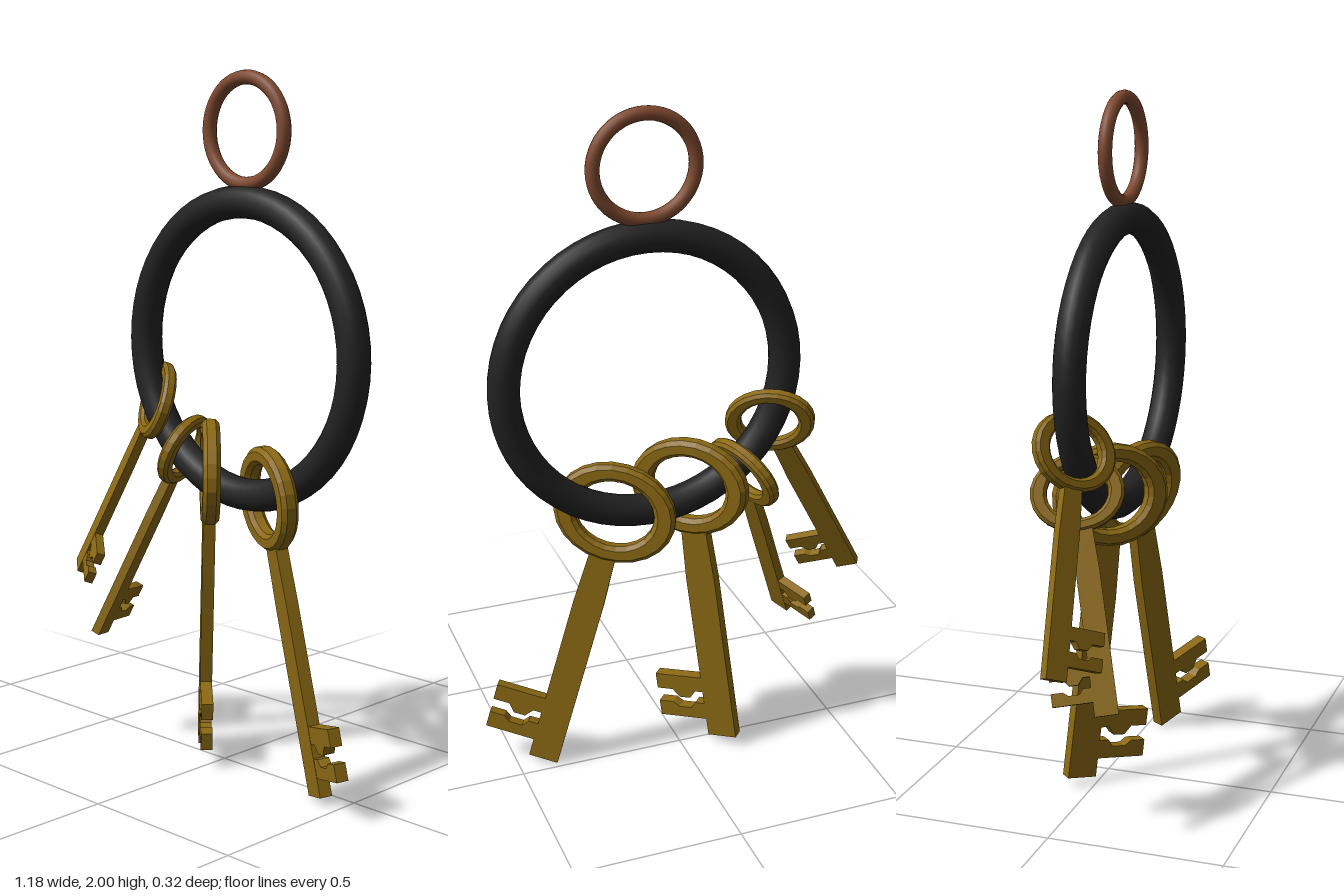
import * as THREE from 'three';

const brass = new THREE.MeshStandardMaterial({ color: 0x8b6914, flatShading: true });
const iron = new THREE.MeshStandardMaterial({ color: 0x222222 });
const copper = new THREE.MeshStandardMaterial({ color: 0x804a30 });

// Plate cut from a shape, centred on z = 0, with chamfered edges
function plate(name, shape, thickness, bevel) {
  const depth = thickness - 2 * bevel;
  const geo = new THREE.ExtrudeGeometry(shape, {
    depth, curveSegments: 12, bevelEnabled: bevel > 0, bevelSegments: 1,
    bevelThickness: bevel, bevelSize: bevel, bevelOffset: -bevel,
  });
  geo.translate(0, 0, -depth / 2);
  const mesh = new THREE.Mesh(geo, brass);
  mesh.name = name;
  return mesh;
}

const polygon = (points) => new THREE.Shape(points.map(([x, y]) => new THREE.Vector2(x, y)));

// Key with its bow at the origin, shaft down -y, teeth towards +x
function buildKey(name) {
  const key = new THREE.Group();
  key.name = name;

  const oval = new THREE.Shape().absellipse(0, 0, 0.18, 0.15, 0, Math.PI * 2, false);
  oval.holes.push(new THREE.Path().absellipse(0, 0, 0.117, 0.1, 0, Math.PI * 2, true));
  key.add(plate('bow', oval, 0.05, 0.012));

  key.add(plate('shaft', polygon([
    [-0.045, -0.84], [0.045, -0.84], [0.045, -0.3], [0.038, -0.12], [-0.038, -0.12], [-0.045, -0.3],
  ]), 0.036, 0));

  key.add(plate('upperTooth', polygon([
    [0.03, -0.69], [0.07, -0.69], [0.09, -0.715], [0.125, -0.715], [0.145, -0.69],
    [0.195, -0.69], [0.195, -0.64], [0.03, -0.64],
  ]), 0.034, 0));

  key.add(plate('lowerTooth', polygon([
    [0.03, -0.785], [0.195, -0.785], [0.195, -0.735], [0.15, -0.735], [0.13, -0.75],
    [0.09, -0.75], [0.075, -0.73], [0.03, -0.73],
  ]), 0.034, 0));
  return key;
}

// Each key: bow centre, shaft tip, direction of its teeth
const KEYS = [
  ['farRightKey', [-0.28, 1.045, 0.0], [-0.575, 0.495, 0.05], [0.73, -0.35, 0.59]],
  ['midRightKey', [-0.19, 0.905, -0.025], [-0.395, 0.34, 0.135], [-0.37, -0.13, -0.92]],
  ['midLeftKey', [-0.04, 0.865, 0.02], [-0.13, 0.03, -0.045], [0.72, -0.1, 0.68]],
  ['farLeftKey', [0.19, 0.82, 0.02], [0.42, 0.018, 0.05], [0.86, 0.25, 0.44]],
];

function ring(name, radius, tube, material, x, y, z) {
  const mesh = new THREE.Mesh(new THREE.TorusGeometry(radius, tube, 14, 56), material);
  mesh.name = name;
  mesh.position.set(x, y, z);
  mesh.rotation.y = -0.03;
  return mesh;
}

export function createModel() {
  const model = new THREE.Group();
  model.name = 'keyRing';
  model.add(ring('mainRing', 0.412, 0.046, iron, 0.09, 1.23, 0.014));
  model.add(ring('hangingRing', 0.145, 0.02, copper, 0.093, 1.835, 0.012));

  for (const [name, bow, tip, teeth] of KEYS) {
    const origin = new THREE.Vector3(...bow);
    const up = origin.clone().sub(new THREE.Vector3(...tip));
    const scale = up.length() / 0.84;
    up.normalize();
    const across = new THREE.Vector3(...teeth);
    across.addScaledVector(up, -across.dot(up)).normalize();
    const normal = across.clone().cross(up);

    const key = buildKey(name);
    key.position.copy(origin);
    key.quaternion.setFromRotationMatrix(new THREE.Matrix4().makeBasis(across, up, normal));
    key.scale.setScalar(scale);
    model.add(key);
  }
  return model;
}
